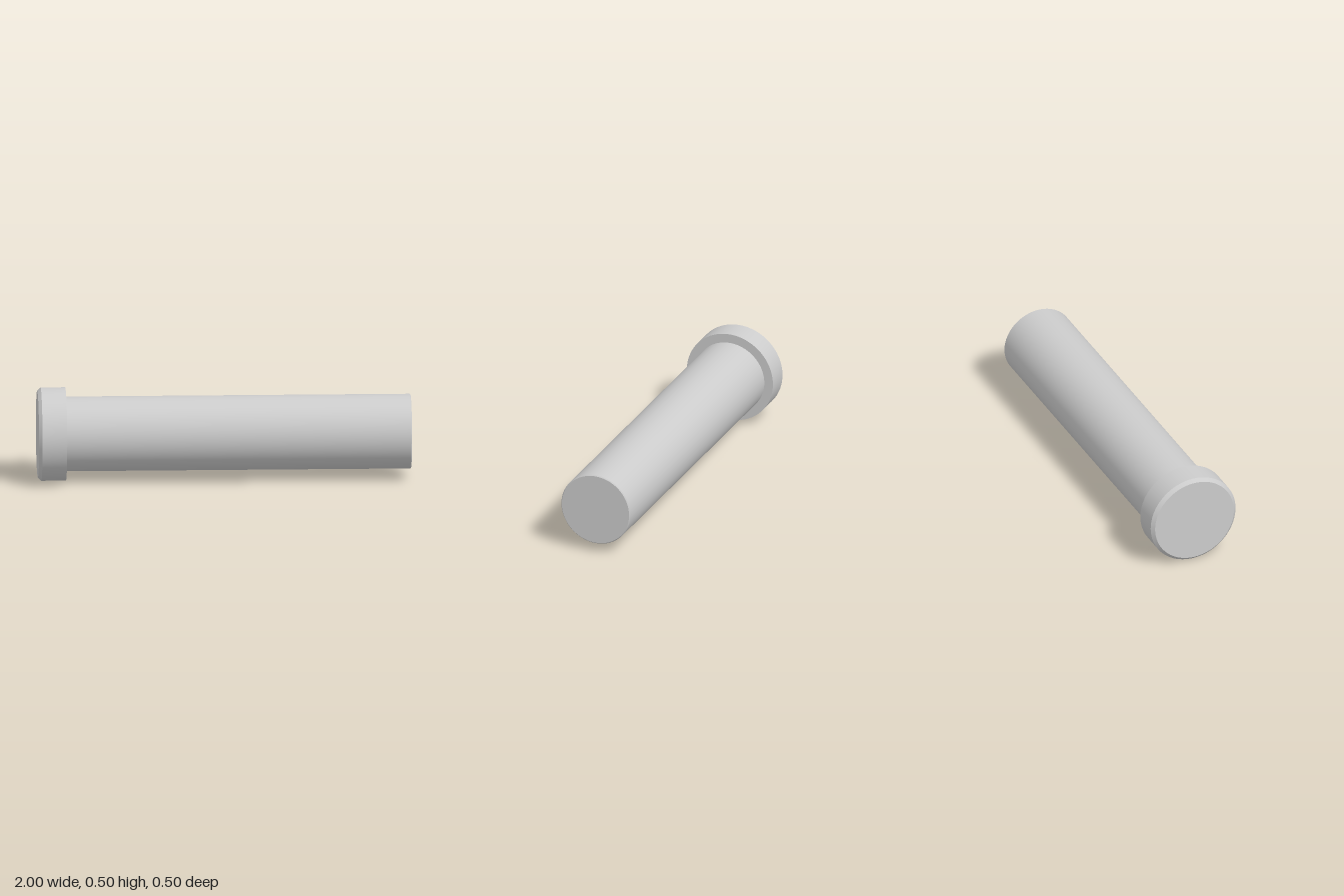
import * as THREE from 'three';
import { toCreasedNormals } from 'three/addons/utils/BufferGeometryUtils.js';

const material = new THREE.MeshStandardMaterial({ color: 0xcccccc });

// Turned part: profile of [radius, x] points spun about the x axis
function turned(name, profile) {
  const points = profile.map(([r, x]) => new THREE.Vector2(r, x));
  const geometry = new THREE.LatheGeometry(points, 96);
  geometry.rotateZ(-Math.PI / 2);
  const mesh = new THREE.Mesh(toCreasedNormals(geometry, 0.4), material);
  mesh.name = name;
  return mesh;
}

export function createModel() {
  const group = new THREE.Group();
  group.name = 'headedPin';
  const axis = new THREE.Group();
  axis.name = 'pinBody';
  axis.position.y = 0.25;
  group.add(axis);

  // Head: chamfered outer rim, flat shoulder meeting the shank
  axis.add(turned('head', [[0, -1], [0.232, -1], [0.25, -0.982], [0.25, -0.85], [0.2, -0.85]]));

  // Shank: long cylinder with a fine chamfer at the tip
  axis.add(turned('shank', [[0.2, -0.85], [0.2, 0.995], [0.195, 1], [0, 1]]));

  return group;
}
